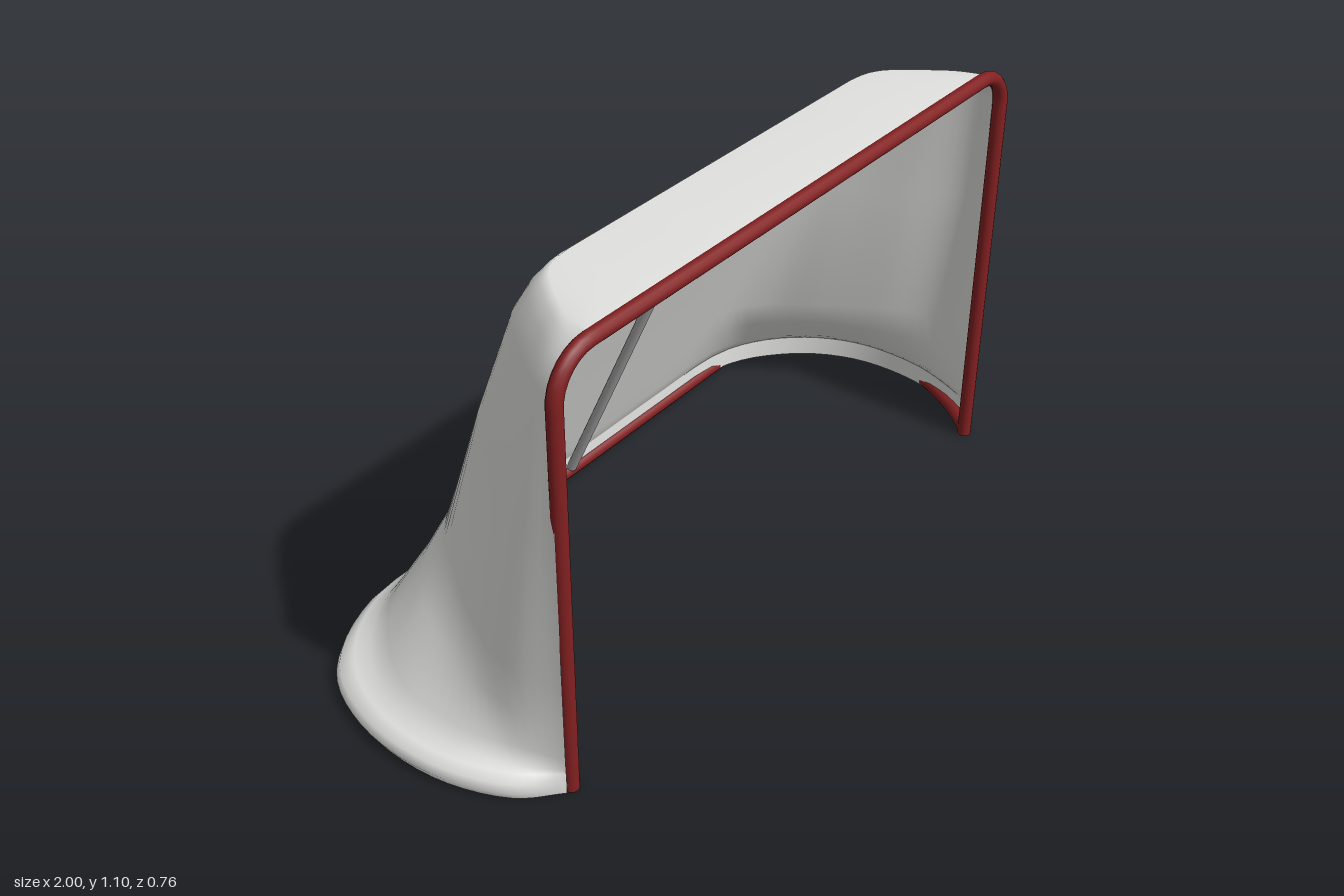
import * as THREE from 'three';

const red = new THREE.MeshStandardMaterial({ color: 0x832021 });
red.name = 'frame red';
const white = new THREE.MeshStandardMaterial({ color: 0xe4e4e2, side: THREE.DoubleSide });
white.name = 'net white';
const grey = new THREE.MeshStandardMaterial({ color: 0xa6a6a6 });
grey.name = 'post grey';

// Half outlines of the net, [x, z] from the front post round to the back
const hem = [[0.842, 0.368], [0.93, 0.29], [0.995, 0.11], [0.985, -0.11], [0.9, -0.28], [0.7, -0.378], [0.3, -0.38]];
const low = [[0.841, 0.366], [0.878, 0.25], [0.908, 0.12], [0.895, -0.05], [0.805, -0.2], [0.66, -0.315], [0.3, -0.343]];
const middle = [[0.84, 0.365], [0.858, 0.22], [0.8, 0.075], [0.71, -0.065], [0.625, -0.18], [0.53, -0.24], [0.25, -0.256]];
const high = [[0.838, 0.363], [0.832, 0.265], [0.76, 0.15], [0.685, 0.03], [0.61, -0.05], [0.52, -0.073], [0.25, -0.075]];
const shoulder = [[0.82, 0.358], [0.795, 0.29], [0.745, 0.215], [0.695, 0.145], [0.64, 0.09], [0.57, 0.065], [0.3, 0.062]];
const rim = [[0.725, 0.358], [0.705, 0.3], [0.67, 0.245], [0.635, 0.198], [0.595, 0.155], [0.54, 0.132], [0.3, 0.128]];

// Points at height y along a blend of two half outlines and its mirror image, with a straight back
const COLUMNS = 65;
function outline(y, from, to, t) {
  const half = from.map(([x, z], i) => new THREE.Vector3(
    THREE.MathUtils.lerp(x, to[i][0], t), y, THREE.MathUtils.lerp(z, to[i][1], t)));
  const mirrored = half.map((p) => new THREE.Vector3(-p.x, y, p.z)).reverse();
  const points = new THREE.CatmullRomCurve3([...half, ...mirrored]).getPoints(COLUMNS);
  const back = half[half.length - 1].z;
  points.forEach((p) => { p.z = Math.max(p.z, back); });
  return points;
}

// Smooth sheet through rows of points
function sheet(rows) {
  const index = [];
  const w = COLUMNS + 1;
  for (let j = 0; j < rows.length - 1; j++) {
    for (let i = 0; i < COLUMNS; i++) {
      const a = j * w + i;
      index.push(a, a + 1, a + w, a + 1, a + w + 1, a + w);
    }
  }
  const geometry = new THREE.BufferGeometry().setFromPoints(rows.flat());
  geometry.setIndex(index);
  geometry.computeVertexNormals();
  return geometry;
}

function netGeometry() {
  const rows = [
    // rounded hem on the ground
    outline(0.003, hem, low, 0.1), outline(0.022, hem, low, 0),
    outline(0.045, hem, low, 0.08), outline(0.06, hem, low, 0.35),
    outline(0.066, hem, low, 0.65),
    // flared lower walls and sloping back
    outline(0.1, low, middle, 0), outline(0.2, low, middle, 0.55),
    outline(0.3, middle, high, 0), outline(0.7, high, shoulder, 0),
    // rounded shoulder
    outline(1.0, shoulder, rim, 0), outline(1.06, shoulder, rim, 0.45),
    outline(1.085, shoulder, rim, 0.75), outline(1.098, shoulder, rim, 1),
  ];
  // close the roof forward to the crossbar
  rows.push(rows[rows.length - 1].map((p) => new THREE.Vector3(p.x, 1.1, 0.358)));
  return sheet(rows);
}

// Inner side of the hem, ending higher in the middle of the back where the bar shows
function innerHemGeometry() {
  const top = outline(0.066, hem, low, 0.65);
  const bottom = top.map((p) => new THREE.Vector3(p.x, 0.01 + 0.026 * Math.max(0, 1 - Math.abs(p.x) / 0.8), p.z));
  return sheet([bottom, top]);
}

// Goal mouth: two posts and a crossbar with rounded corners
function mouthPath() {
  const x = 0.82, top = 1.085, r = 0.1, z = 0.361;
  const v = (a, b) => new THREE.Vector3(a, b, z);
  const bend = (s) => Array.from({ length: 9 }, (_, i) => {
    const a = (i / 8) * Math.PI / 2;
    return v(s * (x - r + r * Math.cos(a)), top - r + r * Math.sin(a));
  });
  const path = new THREE.CurvePath();
  path.add(new THREE.LineCurve3(v(-x, 0), v(-x, top - r)));
  path.add(new THREE.CatmullRomCurve3(bend(-1)));
  path.add(new THREE.LineCurve3(v(r - x, top), v(x - r, top)));
  path.add(new THREE.CatmullRomCurve3(bend(1).reverse()));
  path.add(new THREE.LineCurve3(v(x, top - r), v(x, 0)));
  return path;
}

export function createModel() {
  const group = new THREE.Group();
  const add = (name, geometry, material) => {
    const mesh = new THREE.Mesh(geometry, material);
    mesh.name = name;
    group.add(mesh);
    return mesh;
  };

  add('net', netGeometry(), white);
  add('innerHem', innerHemGeometry(), white);
  add('goalFrame', new THREE.TubeGeometry(mouthPath(), 160, 0.018, 12), red);

  // flat ends under the posts
  for (const side of [-1, 1]) {
    const cap = add('postEnd', new THREE.CircleGeometry(0.018, 12), red);
    cap.rotation.x = Math.PI / 2;
    cap.position.set(side * 0.82, 0, 0.361);
  }

  // ground bar inside the hem of the net
  const bar = [[0.82, 0.36], [0.895, 0.262], [0.962, 0.11], [0.955, -0.1], [0.87, -0.262], [0.69, -0.358], [0.3, -0.361]];
  const barPath = new THREE.CatmullRomCurve3(outline(0.018, bar, bar, 0));
  add('groundBar', new THREE.TubeGeometry(barPath, 120, 0.018, 10), red);

  // centre post sloping down the back of the net
  const top = new THREE.Vector3(0, 1.08, 0.115);
  const foot = new THREE.Vector3(0, 0.035, -0.35);
  add('centrePost', new THREE.TubeGeometry(new THREE.LineCurve3(top, foot), 1, 0.013, 10), grey);

  return group;
}
